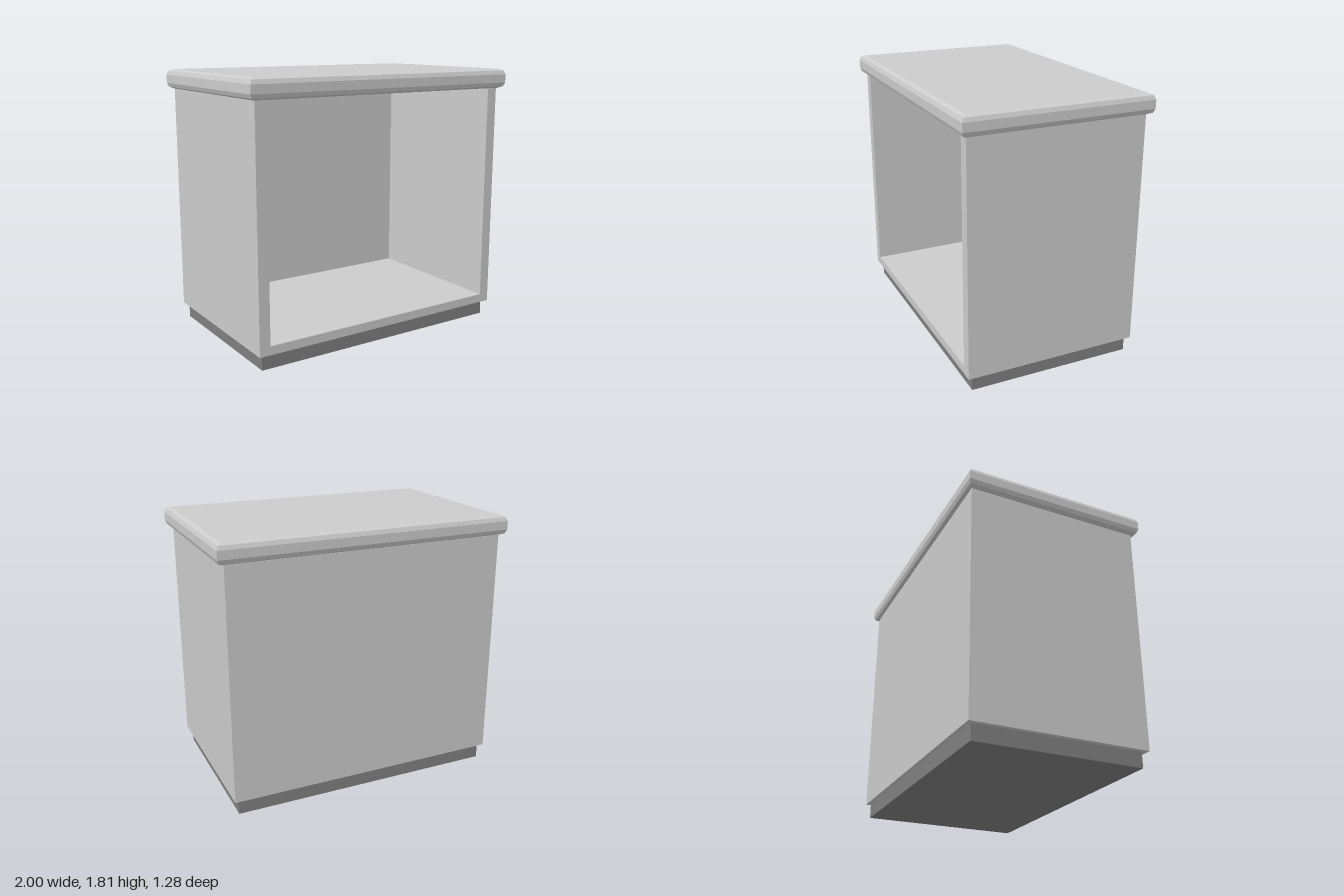
import * as THREE from 'three';

const bodyMat = new THREE.MeshStandardMaterial({ color: 0xcccccc });
bodyMat.name = 'light grey';
const plinthMat = new THREE.MeshStandardMaterial({ color: 0x808080 });
plinthMat.name = 'dark grey';

const polygon = (points) => new THREE.Shape(points.map(([x, y]) => new THREE.Vector2(x, y)));

// Box given by its minimum and maximum corners
function box(name, min, max, material) {
  const size = max.map((v, i) => v - min[i]);
  const mesh = new THREE.Mesh(new THREE.BoxGeometry(...size), material);
  mesh.position.set(...max.map((v, i) => (v + min[i]) / 2));
  mesh.name = name;
  return mesh;
}

export function createModel() {
  const model = new THREE.Group();
  model.name = 'openCabinet';

  const left = 0.953, right = -0.957, wall = 0.075;
  const bottom = 0.105, floor = 0.165, top = 1.682;
  const front = 0.597, back = -0.605, innerBack = -0.515;

  // Recessed plinth
  model.add(box('plinth', [-0.925, 0, -0.578], [0.921, bottom, 0.561], plinthMat));

  // Side walls and floor as one U-shaped section
  const section = polygon([
    [right, bottom], [left, bottom], [left, top], [left - wall, top],
    [left - wall, floor], [right + wall, floor], [right + wall, top], [right, top],
  ]);
  const carcass = new THREE.Mesh(
    new THREE.ExtrudeGeometry(section, { depth: front - innerBack, bevelEnabled: false }), bodyMat);
  carcass.position.z = innerBack;
  carcass.name = 'carcass';
  model.add(carcass);

  // Back panel
  model.add(box('backPanel', [right, bottom, back], [left, top, innerBack], bodyMat));

  // Countertop slab with rounded, mitred edges
  const r = 0.038, x = 1 - r, z = 0.638 - r;
  const slab = new THREE.ExtrudeGeometry(polygon([[-x, -z], [x, -z], [x, z], [-x, z]]), {
    depth: 0.057, bevelEnabled: true, bevelSize: r, bevelThickness: r, bevelSegments: 2,
  });
  slab.rotateX(-Math.PI / 2);
  const countertop = new THREE.Mesh(slab, bodyMat);
  countertop.position.y = 1.681 + r;
  countertop.name = 'countertop';
  model.add(countertop);

  return model;
}
